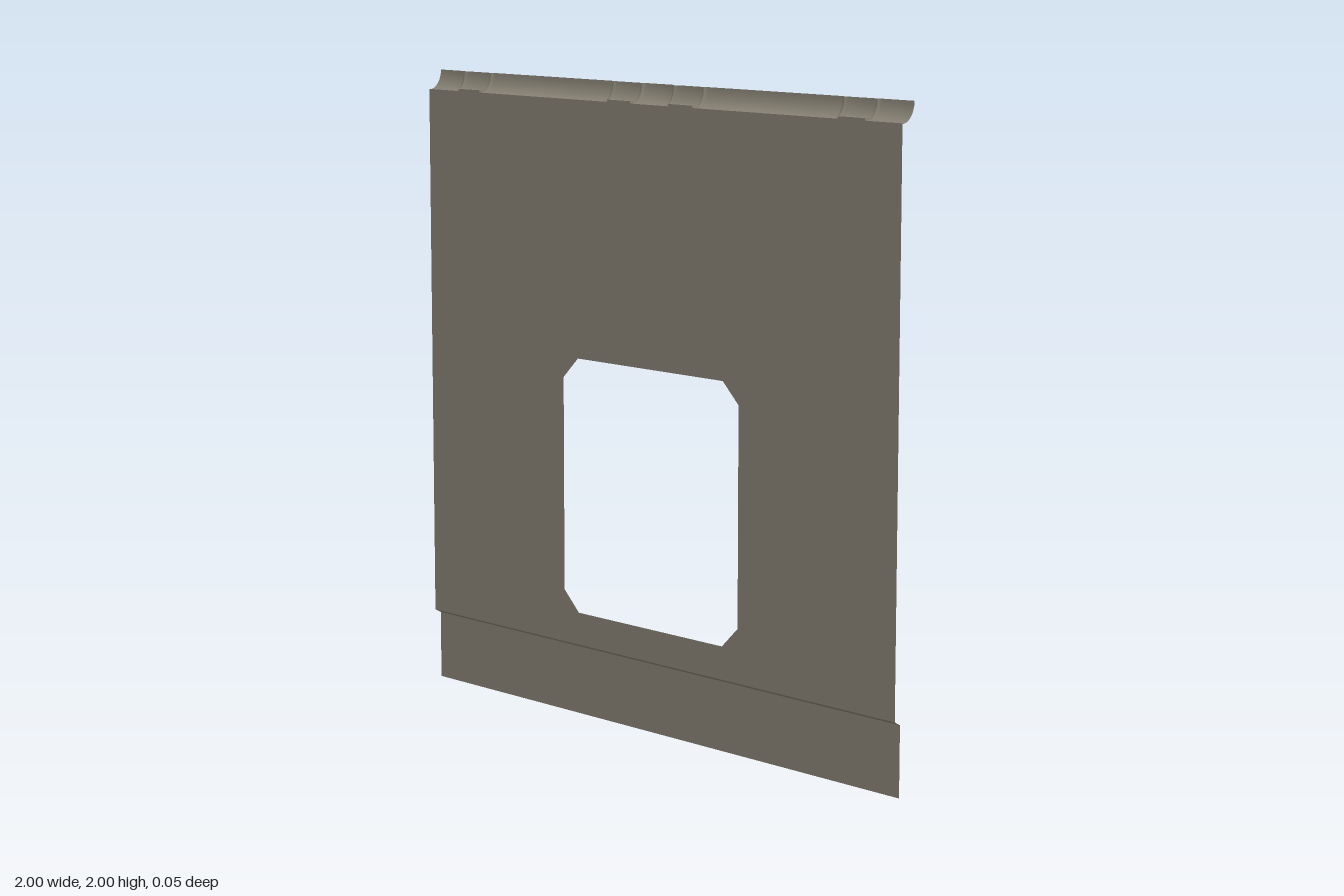
import * as THREE from 'three';

const FRONT = 0.025;          // plane of the main sheet
const CLIPS = [-0.81, -0.13, 0.13, 0.81];

// Surface through rows of [x, y, z] points, all rows the same length
function loft(rows) {
  const pos = [], idx = [], n = rows[0].length;
  rows.forEach((row) => row.forEach((p) => pos.push(...p)));
  for (let i = 0; i < rows.length - 1; i++) {
    for (let j = 0; j < n - 1; j++) {
      const a = i * n + j, b = a + 1, c = a + n, d = c + 1;
      idx.push(a, c, b, b, c, d);
    }
  }
  const g = new THREE.BufferGeometry();
  g.setAttribute('position', new THREE.Float32BufferAttribute(pos, 3));
  g.setIndex(idx);
  g.computeVertexNormals();
  return g;
}

// Flat outline with cut corners
function cutRect(target, w, y0, y1, c) {
  target.moveTo(-w + c, y0);
  [[w - c, y0], [w, y0 + c], [w, y1 - c], [w - c, y1], [-w + c, y1], [-w, y1 - c], [-w, y0 + c]]
    .forEach(([x, y]) => target.lineTo(x, y));
  target.closePath();
  return target;
}

export function createModel() {
  const model = new THREE.Group();
  const metal = new THREE.MeshStandardMaterial({ color: 0x878274 });
  metal.name = 'greyMetal';
  metal.side = THREE.DoubleSide;
  const add = (name, geometry) => {
    const mesh = new THREE.Mesh(geometry, metal);
    mesh.name = name;
    model.add(mesh);
    return mesh;
  };

  // Main sheet with the window opening
  const sheet = cutRect(new THREE.Shape(), 1, 0.23, 1.94, 0);
  sheet.holes.push(cutRect(new THREE.Path(), 0.377, 0.333, 1.14, 0.065));
  add('mainPanel', new THREE.ShapeGeometry(sheet)).position.z = FRONT;

  // Step back to the lower strip
  const line = (y, z) => [[-1, y, z], [1, y, z]];
  add('panelStep', loft([line(0.23, FRONT), line(0.217, 0.002)]));
  add('lowerStrip', loft([line(0.217, 0.002), line(0, 0.002)]));

  // Rolled top rail, pressed in around each clip: stations are [x, inset]
  const stations = [[-1, 0]];
  for (const c of CLIPS) {
    [[-0.072, 0], [-0.066, 0.011], [-0.058, 0.011], [-0.052, 0.004],
      [0.052, 0.004], [0.058, 0.011], [0.066, 0.011], [0.072, 0]]
      .forEach(([dx, inset]) => stations.push([c + dx, inset]));
  }
  stations.push([1, 0]);
  const rail = stations.map(([x, inset]) => {
    const row = [];
    for (let i = 0; i <= 8; i++) {
      const a = (i / 8) * Math.PI / 2;
      row.push([
        x,
        2 - 0.062 * Math.cos(a) - inset * 0.4 * Math.cos(a),
        Math.min(FRONT, FRONT - 0.05 * Math.sin(a) + inset),
      ]);
    }
    return row;
  });
  add('topRail', loft(rail));

  // Wedge clips on the back, thinning towards the bottom
  for (const c of CLIPS) {
    const s = new THREE.Shape();
    [[-0.035, 1.86], [0.035, 1.86], [0.05, 1.88], [0.05, 1.947], [-0.05, 1.947], [-0.05, 1.88]]
      .forEach(([x, y], i) => (i ? s.lineTo(x, y) : s.moveTo(x, y)));
    const g = new THREE.ExtrudeGeometry(s, { depth: 1, bevelEnabled: false });
    const p = g.attributes.position;
    for (let i = 0; i < p.count; i++) {
      const thick = 0.006 + (p.getY(i) - 1.86) * 0.2;
      p.setZ(i, FRONT - 0.001 - (1 - p.getZ(i)) * thick);
    }
    g.computeVertexNormals();
    add('clip', g).position.x = c;
  }
  return model;
}
